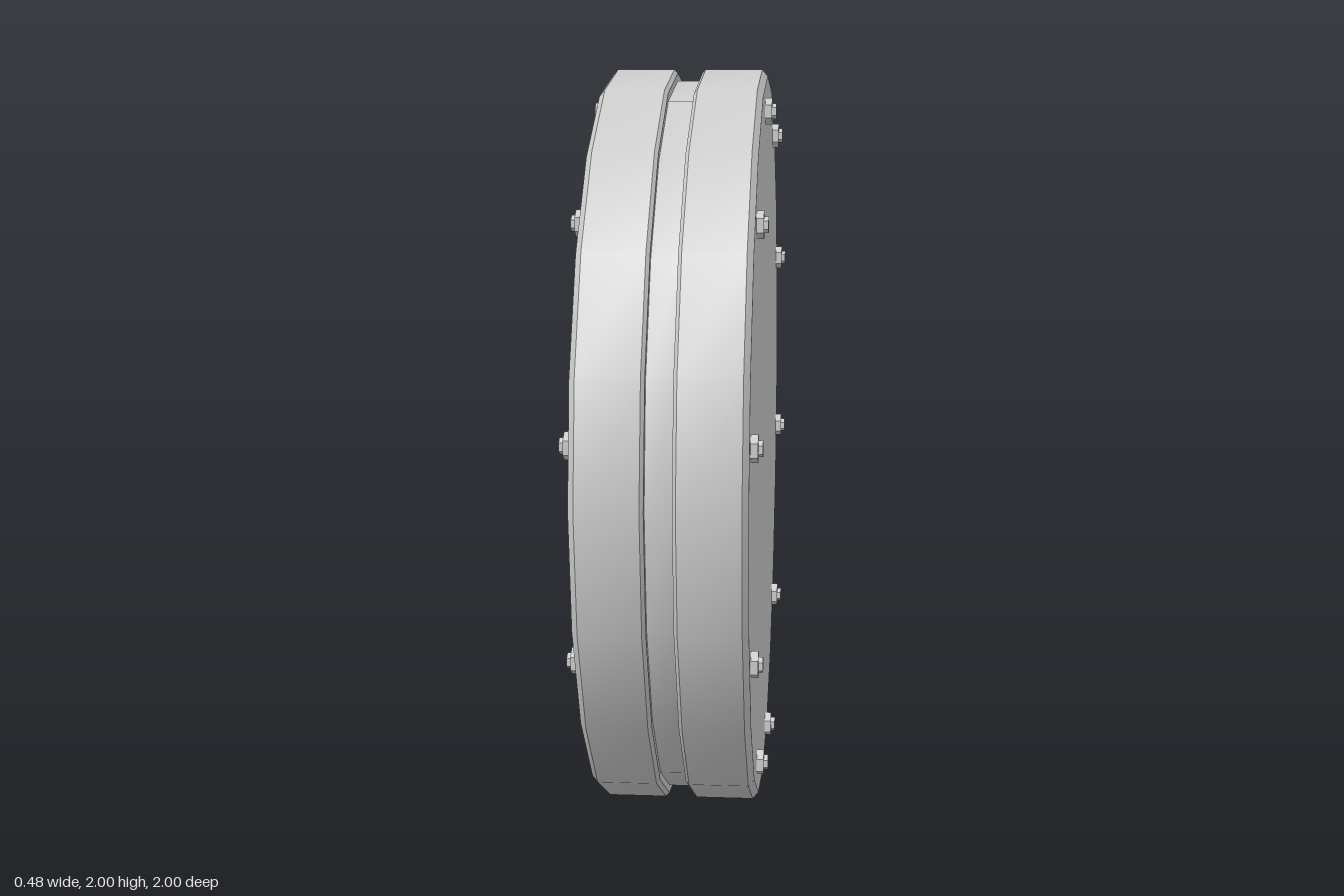
import * as THREE from 'three';
import { toCreasedNormals } from 'three/addons/utils/BufferGeometryUtils.js';

const SIDES = 20;
const BOLTS = 10;

export function createModel() {
  const group = new THREE.Group();
  const smooth = new THREE.MeshStandardMaterial({ color: 0xcccccc });
  const flat = new THREE.MeshStandardMaterial({ color: 0xcccccc, flatShading: true });

  // Two chamfered discs joined by a recessed groove, in one lathed profile
  const half = [[0, 0.21], [0.982, 0.21], [1, 0.195], [1, 0.042], [0.99, 0.033], [0.97, 0.033]];
  const points = [
    ...half.map(([r, x]) => new THREE.Vector2(r, -x)),
    ...half.slice().reverse().map(([r, x]) => new THREE.Vector2(r, x)),
  ];
  const lathe = new THREE.LatheGeometry(points, SIDES);
  const drum = new THREE.Mesh(toCreasedNormals(lathe, Math.PI / 7), smooth);
  drum.name = 'groovedDrum';
  drum.rotation.z = -Math.PI / 2;
  drum.position.y = 1;
  group.add(drum);

  // Ring of hexagonal bolts on each face: a head with a small stepped tip
  const headGeometry = new THREE.CylinderGeometry(0.034, 0.034, 0.022, 6);
  const tipGeometry = new THREE.CylinderGeometry(0.02, 0.02, 0.012, 6);
  for (const side of [1, -1]) {
    const ring = new THREE.Group();
    ring.name = side > 0 ? 'leftBolts' : 'rightBolts';
    for (let i = 0; i < BOLTS; i++) {
      const angle = THREE.MathUtils.degToRad(8.8 + (i * 360) / BOLTS);
      const bolt = new THREE.Group();
      bolt.name = 'bolt';
      const head = new THREE.Mesh(headGeometry, flat);
      head.name = 'boltHead';
      head.position.y = 0.217;
      const tip = new THREE.Mesh(tipGeometry, flat);
      tip.name = 'boltTip';
      tip.position.y = 0.233;
      bolt.add(head, tip);
      // Aim the bolt outward along x, with a hexagon corner pointing up
      bolt.rotation.set(Math.PI / 2, 0, -side * Math.PI / 2);
      bolt.position.set(0, 1 + 0.905 * Math.sin(angle), 0.905 * Math.cos(angle));
      ring.add(bolt);
    }
    group.add(ring);
  }
  return group;
}
